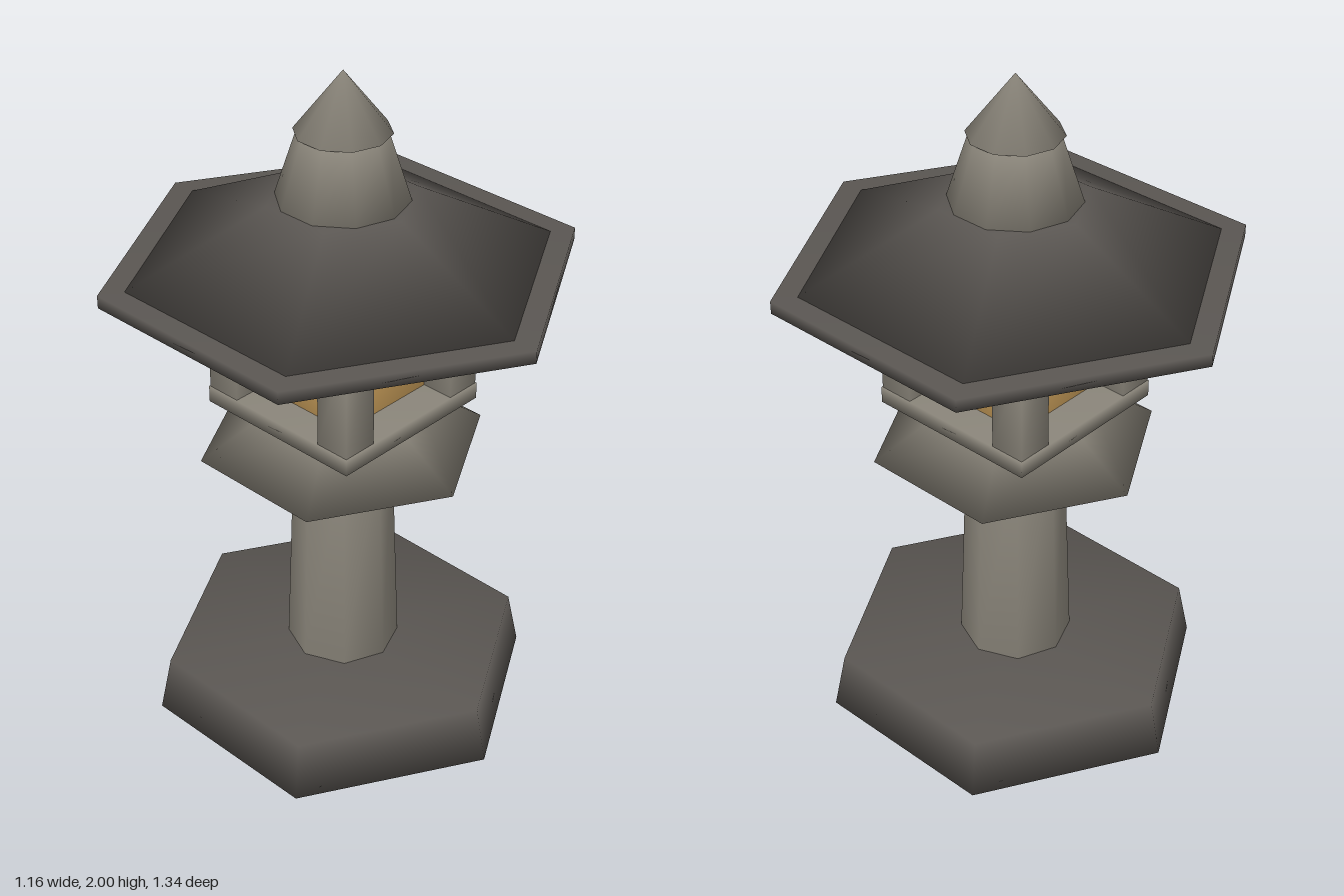
import * as THREE from 'three';
import { mergeVertices } from 'three/addons/utils/BufferGeometryUtils.js';

const material = (name, color) => {
  const m = new THREE.MeshStandardMaterial({ color });
  m.name = name;
  return m;
};

// Share corners between neighbouring faces so the shading rolls softly over the edges
function soften(geometry) {
  geometry.deleteAttribute('uv');
  geometry.deleteAttribute('normal');
  const welded = mergeVertices(geometry, 1e-4);
  welded.computeVertexNormals();
  return welded;
}

export function createModel() {
  const group = new THREE.Group();
  group.name = 'stoneLantern';
  const stone = material('stone', 0x8a857a);
  const darkStone = material('darkStone', 0x5a5652);
  const glow = material('amberGlow', 0xe2b266);

  const add = (name, geometry, mat, x, y, z) => {
    const mesh = new THREE.Mesh(soften(geometry), mat);
    mesh.name = name;
    mesh.position.set(x, y, z);
    group.add(mesh);
  };
  // Tapered prism between two heights, with a corner pointing to the front
  const prism = (name, mat, sides, y0, y1, r0, r1) =>
    add(name, new THREE.CylinderGeometry(r1, r0, y1 - y0, sides), mat, 0, (y0 + y1) / 2, 0);
  // Square block between two heights
  const block = (name, mat, width, y0, y1, x = 0, z = 0) =>
    add(name, new THREE.BoxGeometry(width, y1 - y0, width), mat, x, (y0 + y1) / 2, z);

  // Foot and post
  prism('base', darkStone, 6, 0, 0.17, 0.57, 0.535);
  prism('post', stone, 8, 0.17, 0.87, 0.165, 0.14);
  prism('lowerSkirt', stone, 6, 0.87, 1.0, 0.415, 0.213);

  // Light chamber
  block('chamberFloor', stone, 0.53, 1.0, 1.05);
  block('lightCore', glow, 0.33, 1.05, 1.39);
  for (const x of [-1, 1]) {
    for (const z of [-1, 1]) {
      block('cornerPillar', stone, 0.106, 1.05, 1.39, x * 0.209, z * 0.209);
    }
  }
  block('chamberCeiling', stone, 0.53, 1.385, 1.43);

  // Roof
  prism('roofEave', darkStone, 6, 1.408, 1.445, 0.67, 0.67);
  prism('roofSlope', darkStone, 6, 1.445, 1.64, 0.597, 0.21);

  // Finial
  prism('finialNeck', stone, 10, 1.64, 1.83, 0.184, 0.122);
  prism('finialTip', stone, 10, 1.83, 2.0, 0.133, 0);

  return group;
}
